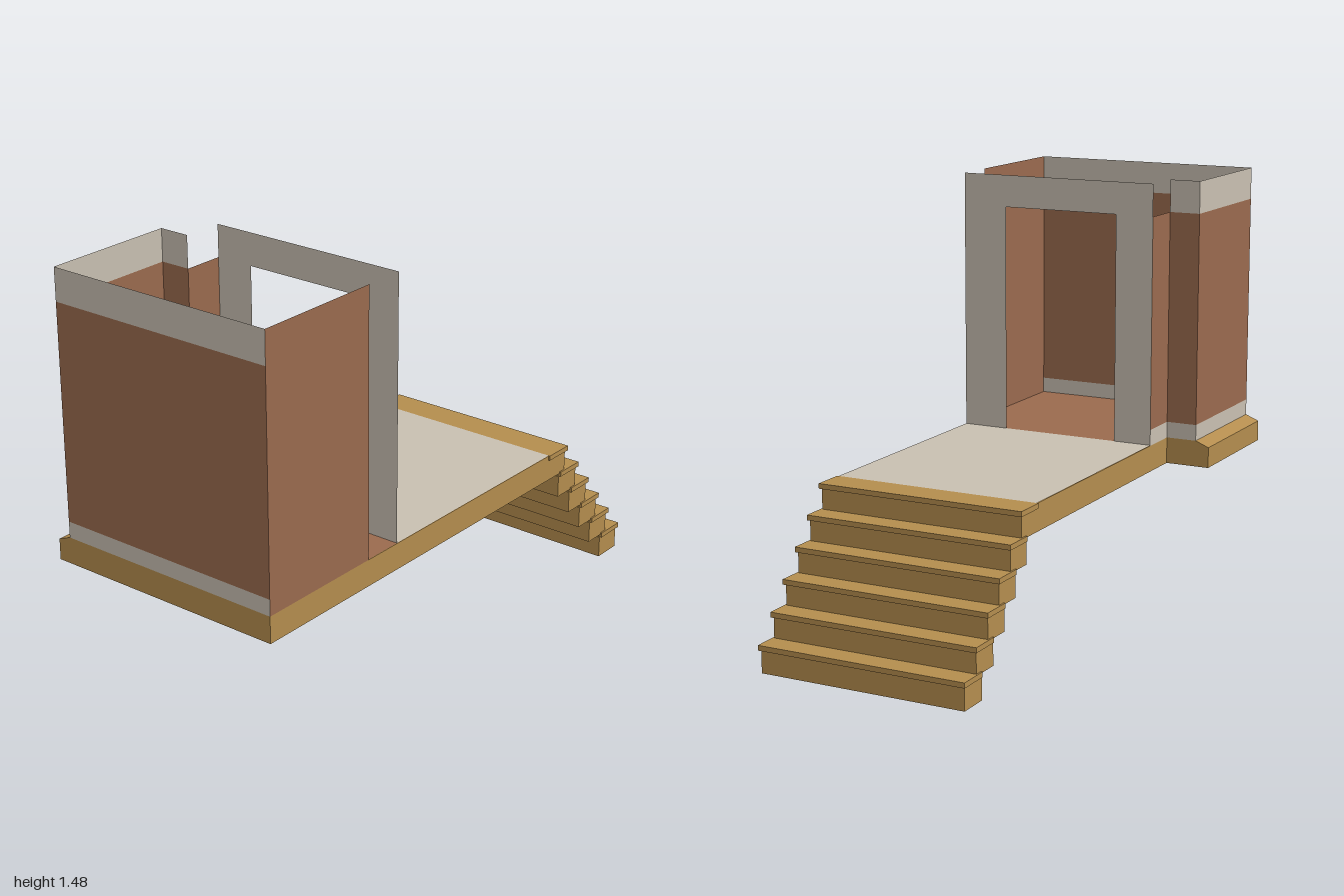
import * as THREE from 'three';

export function createModel() {
  const model = new THREE.Group();
  const mat = (name, color, side = THREE.FrontSide) => {
    const m = new THREE.MeshStandardMaterial({ color, side });
    m.name = name;
    return m;
  };
  const timber = mat('timber', 0xb48d4e);
  const clay = mat('clay brown', 0x9a6a4e, THREE.DoubleSide);
  const trim = mat('pale trim', 0xc8bfb1, THREE.DoubleSide);

  const add = (name, geometry, material, parent = model) => {
    const mesh = new THREE.Mesh(geometry, material);
    mesh.name = name;
    parent.add(mesh);
    return mesh;
  };
  // Box given by its limits on each axis
  const box = (name, x0, x1, y0, y1, z0, z1, parent) => {
    const g = new THREE.BoxGeometry(x1 - x0, y1 - y0, z1 - z0);
    g.translate((x0 + x1) / 2, (y0 + y1) / 2, (z0 + z1) / 2);
    return add(name, g, timber, parent);
  };

  const L = -0.297, R = 0.452;          // sides of the walkway
  const wingX = -0.41;                  // outer wall of the bay
  const doorZ = 0.37, bayZ = 0.517;
  const deckY = 0.545, baseY = 0.603, bandY = 1.365, topY = 1.48;

  // Deck: walkway, and room platform with a bevelled edge at the bay
  box('walkwayDeck', L, R, 0.45, deckY, -0.615, bayZ);
  const section = new THREE.Shape([
    [-0.46, 0.45], [R, 0.45], [R, deckY], [wingX, deckY], [-0.46, 0.525],
  ].map(([x, y]) => new THREE.Vector2(x, y)));
  const platform = new THREE.ExtrudeGeometry(section, { depth: 1 - bayZ, bevelEnabled: false });
  platform.translate(0, 0, bayZ);
  add('roomPlatform', platform, timber);

  // Floor coverings
  const floor = (name, x0, x1, z0, z1, material) => {
    const g = new THREE.PlaneGeometry(x1 - x0, z1 - z0);
    g.rotateX(-Math.PI / 2);
    g.translate((x0 + x1) / 2, deckY + 0.002, (z0 + z1) / 2);
    add(name, g, material);
  };
  floor('walkwayFloor', L, R, -0.51, doorZ, trim);
  floor('roomFloor', wingX, R, bayZ, 1, clay);
  floor('entryFloor', L, R, doorZ, bayZ, clay);

  // Stairs: overhanging treads on solid risers; the top tread caps the deck
  const stairs = new THREE.Group();
  stairs.name = 'stairs';
  model.add(stairs);
  for (let i = 0; i <= 5; i++) {
    const top = deckY + 0.002 - i * 0.09;
    const nose = -0.625 - i * 0.075;
    box('tread', L - 0.006, R + 0.006, top - 0.018, top, nose, nose + 0.115, stairs);
    if (i > 0) {
      box('riser', L, R, Math.max(0, top - 0.097), top - 0.018, nose + 0.01, nose + 0.12, stairs);
    }
  }

  // Thin upright wall panel between two floor points
  const panel = (name, x0, z0, x1, z1, y0, y1, material, parent) => {
    const g = new THREE.PlaneGeometry(Math.hypot(x1 - x0, z1 - z0), y1 - y0);
    g.rotateY(-Math.atan2(z1 - z0, x1 - x0));
    g.translate((x0 + x1) / 2, (y0 + y1) / 2, (z0 + z1) / 2);
    add(name, g, material, parent);
  };
  // Wall with skirting, and a top band where wanted
  const wall = (name, x0, z0, x1, z1, banded = true) => {
    const group = new THREE.Group();
    group.name = name;
    model.add(group);
    panel('skirting', x0, z0, x1, z1, deckY, baseY, trim, group);
    panel('wallFace', x0, z0, x1, z1, baseY, bandY, clay, group);
    if (banded) panel('topBand', x0, z0, x1, z1, bandY, topY, trim, group);
  };
  wall('frontWall', wingX, 1, R, 1);
  wall('bayWall', wingX, 1, wingX, bayZ);
  wall('bayReturn', wingX, bayZ, L, bayZ);
  wall('entryWall', L, bayZ, L, doorZ, false);
  panel('plainSideWall', R, 1, R, bayZ, deckY, topY, clay);

  // Door frame, open at the floor
  const frame = new THREE.Shape([
    [L, deckY], [-0.155, deckY], [-0.155, bandY], [0.283, bandY],
    [0.283, deckY], [R, deckY], [R, topY], [L, topY],
  ].map(([x, y]) => new THREE.Vector2(x, y)));
  add('doorFrame', new THREE.ShapeGeometry(frame), trim).position.z = doorZ;

  return model;
}
